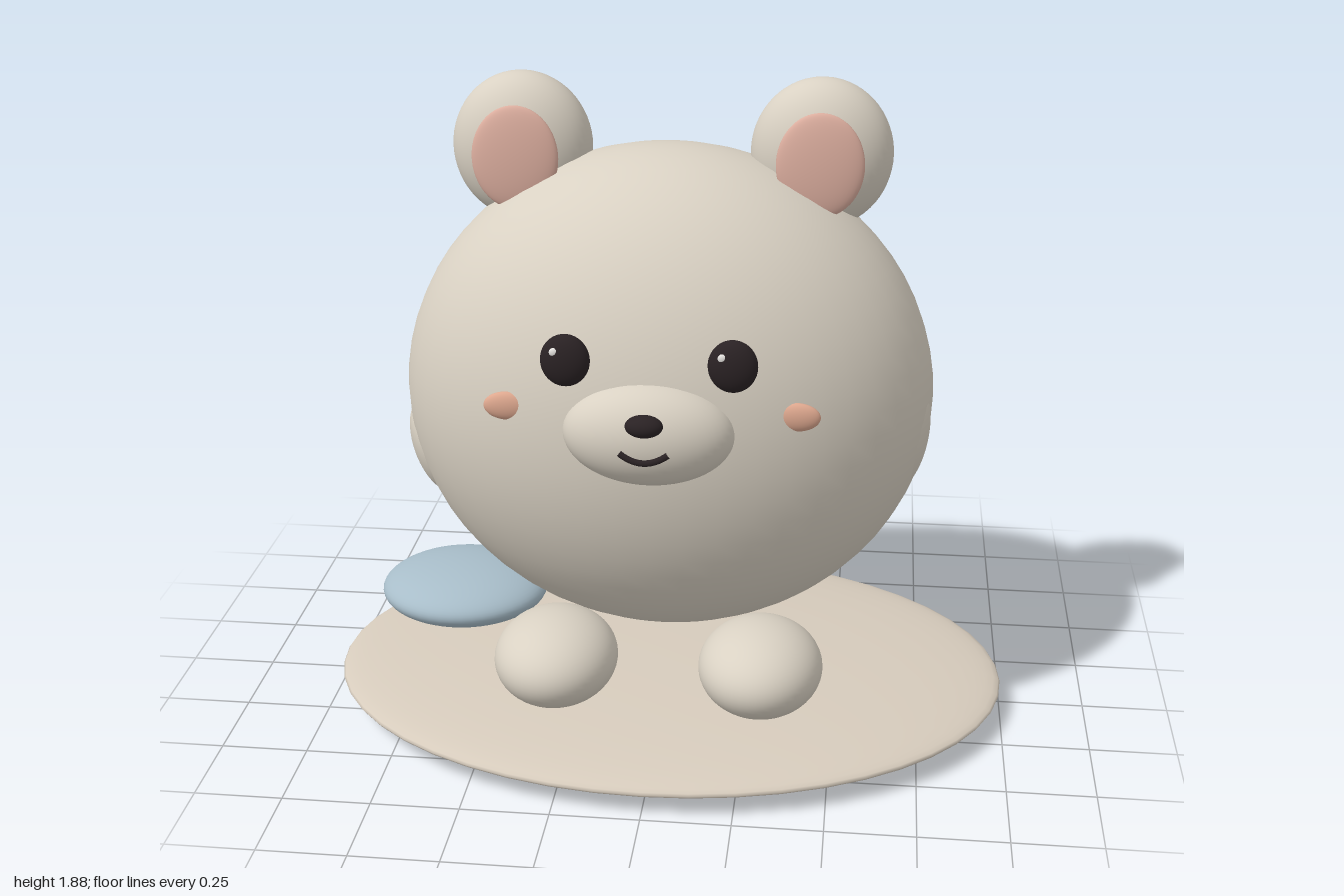
import * as THREE from 'three';

const paint = (name, color) => {
  const m = new THREE.MeshStandardMaterial({ color });
  m.name = name;
  return m;
};

export function createModel() {
  const fur = paint('creamFur', 0xd9d1c3);
  const sand = paint('sandBase', 0xd6cbbc);
  const pink = paint('innerEarPink', 0xdcae9f);
  const blush = paint('blushPink', 0xdea88f);
  const dark = paint('darkBrown', 0x2a2224);
  const white = paint('glintWhite', 0xf4f2ee);
  const blue = paint('softBlue', 0xa8bdc9);

  const model = new THREE.Group();
  model.name = 'bear';
  const ball = new THREE.SphereGeometry(1, 48, 32);

  // Smooth ellipsoid from centre, radii and rotation
  const blob = (name, material, pos, radii, rot = [0, 0, 0]) => {
    const mesh = new THREE.Mesh(ball, material);
    mesh.name = name;
    mesh.position.set(...pos);
    mesh.scale.set(...radii);
    mesh.rotation.set(...rot);
    model.add(mesh);
  };

  // Ground disc and cushion
  blob('base', sand, [0, 0.07, 0], [1, 0.07, 0.737]);
  blob('cushion', blue, [-0.677, 0.185, -0.233], [0.26, 0.084, 0.241]);

  // Body
  blob('body', fur, [0, 0.982, 0], [0.757, 0.713, 0.546]);

  // Mirrored parts
  for (const [side, s] of [['left', 1], ['right', -1]]) {
    blob(side + 'Ear', fur, [0.42 * s, 1.668, -0.06], [0.198, 0.212, 0.131]);
    blob(side + 'InnerEar', pink, [0.42 * s, 1.665, 0.073], [0.121, 0.145, 0.027], [-0.03, 0, 0]);
    blob(side + 'Eye', dark, [0.221 * s, 1.236, 0.502], [0.066, 0.072, 0.036]);
    blob(side + 'EyeGlint', white, [0.221 * s - 0.026, 1.266, 0.528], [0.012, 0.012, 0.006]);
    blob(side + 'Cheek', blush, [0.387 * s, 1.083, 0.457], [0.065, 0.04, 0.02]);
    blob(side + 'Foot', fur, [0.296 * s, 0.25, 0.304], [0.178, 0.13, 0.21]);
  }

  // Arms tucked against the body
  blob('leftArm', fur, [0.677, 0.892, 0.085], [0.07, 0.17, 0.1], [0, -0.25, -0.13]);
  blob('rightArm', fur, [-0.672, 0.797, 0.07], [0.07, 0.15, 0.11], [0, 0.2, 0.3]);

  // Muzzle, nose and smile
  blob('muzzle', fur, [0, 1.041, 0.5], [0.231, 0.144, 0.125]);
  blob('nose', dark, [0, 1.102, 0.612], [0.05, 0.03, 0.034]);
  const smile = new THREE.QuadraticBezierCurve3(
    new THREE.Vector3(-0.064, 1.028, 0.622),
    new THREE.Vector3(0, 0.982, 0.634),
    new THREE.Vector3(0.064, 1.028, 0.622)
  );
  const mouth = new THREE.Mesh(new THREE.TubeGeometry(smile, 20, 0.009, 8), dark);
  mouth.name = 'mouth';
  model.add(mouth);

  return model;
}
